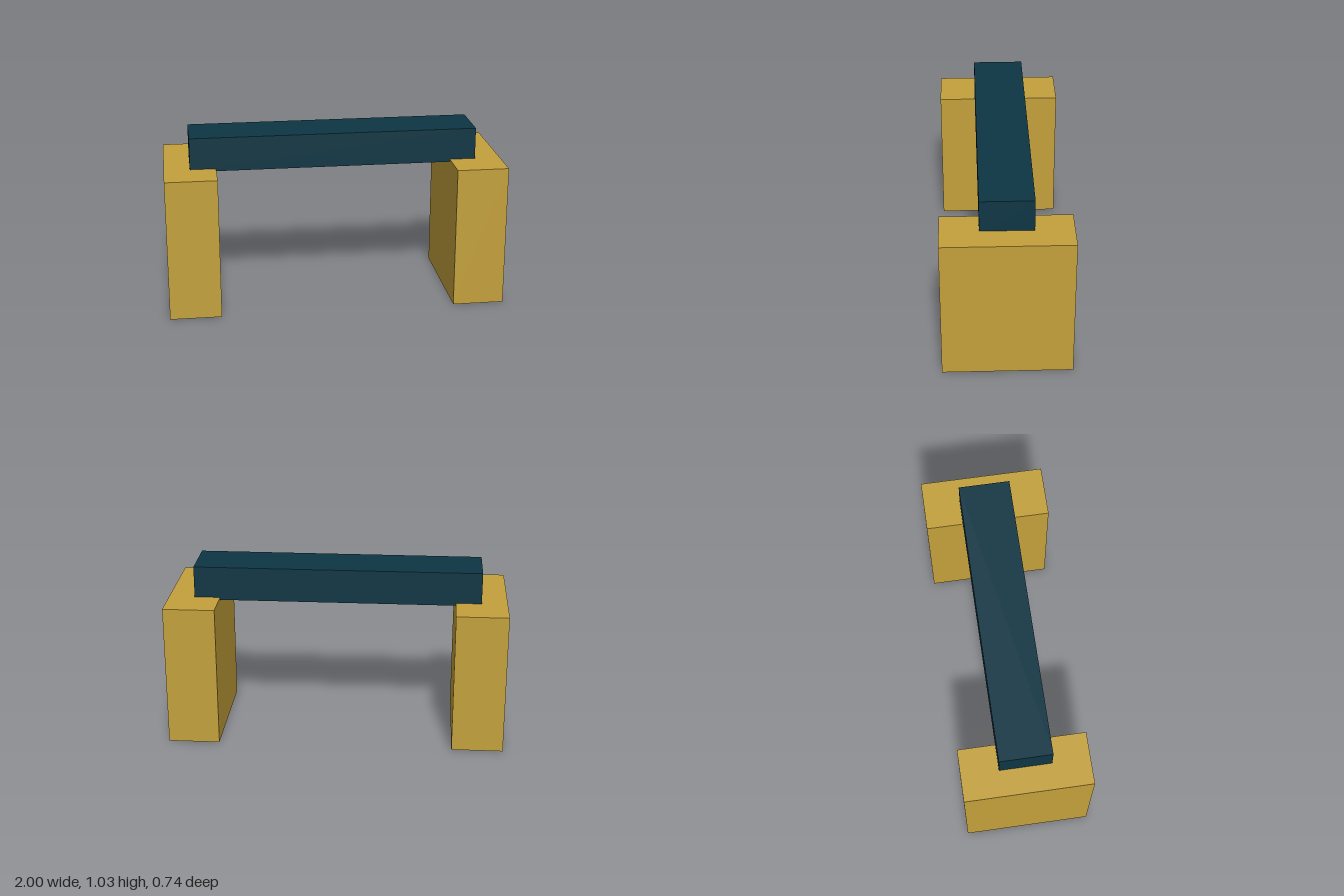
import * as THREE from 'three';

const ochre = new THREE.MeshStandardMaterial({ color: 0xc4a13c });
ochre.name = 'ochre';
const darkTeal = new THREE.MeshStandardMaterial({ color: 0x0e3644 });
darkTeal.name = 'dark teal';

function box(name, material, size, position) {
  const mesh = new THREE.Mesh(new THREE.BoxGeometry(...size), material);
  mesh.name = name;
  mesh.position.set(...position);
  return mesh;
}

export function createModel() {
  const model = new THREE.Group();
  model.name = 'beamOnSupports';

  // Two upright slabs, mirrored left and right
  for (const [name, side] of [['leftSupport', 1], ['rightSupport', -1]]) {
    model.add(box(name, ochre, [0.304, 0.848, 0.742], [side * 0.848, 0.424, 0]));
  }

  // Crossbeam, sunk slightly into the supports
  model.add(box('crossbeam', darkTeal, [1.696, 0.202, 0.304], [0, 0.934, 0]));

  return model;
}
